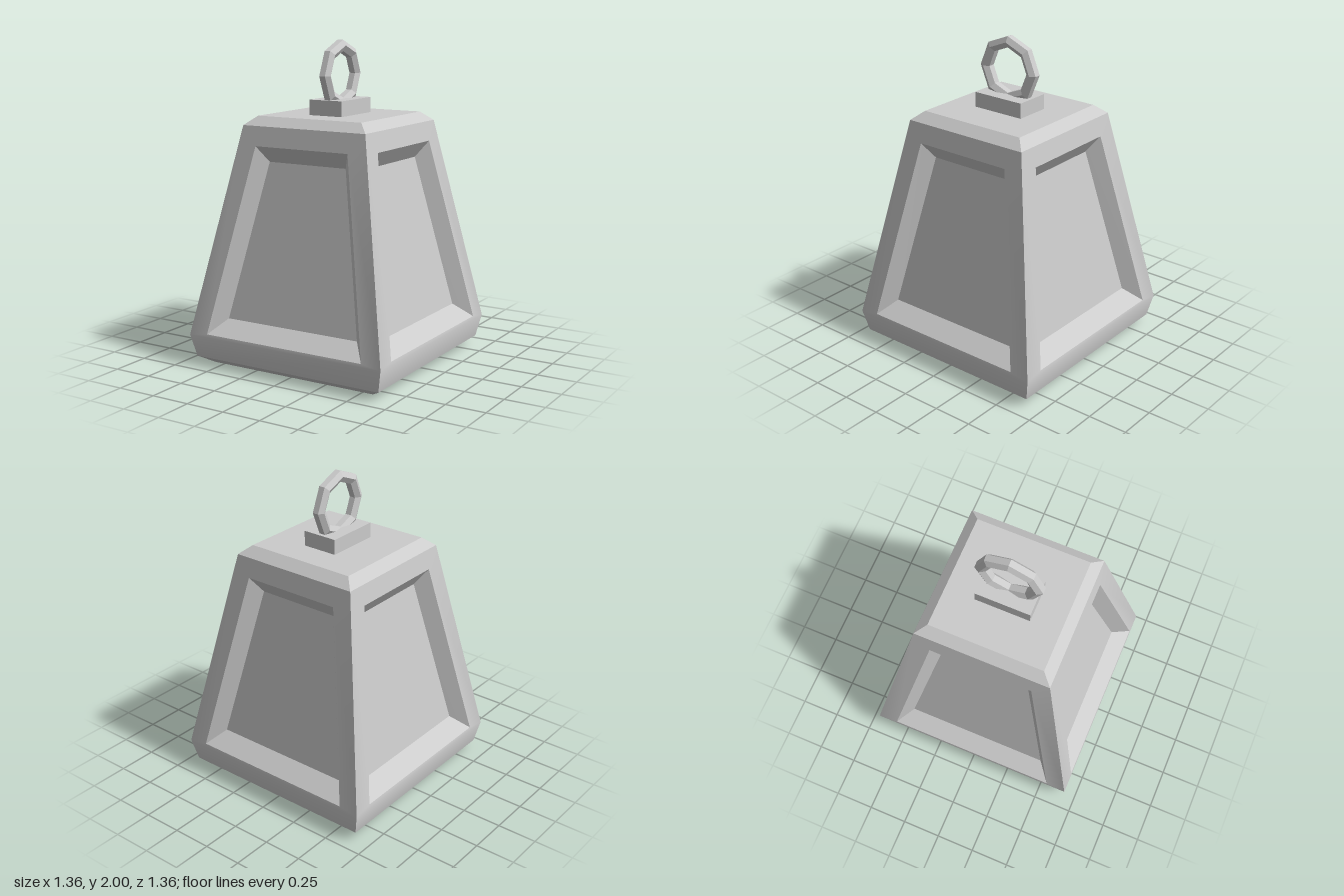
import * as THREE from 'three';
import { toCreasedNormals } from 'three/addons/utils/BufferGeometryUtils.js';

const grey = new THREE.MeshStandardMaterial({ color: 0xcccccc });
const flatGrey = new THREE.MeshStandardMaterial({ color: 0xcccccc, flatShading: true });

// Depth of the sloping side wall at height y
const wallZ = (y) => 0.68 - ((y - 0.19) * 0.25) / 1.3;

// Four corners of a trapezoid on one side, anticlockwise from bottom left
function trapezoid(y0, half0, z0, y1, half1, z1) {
  return [[-half0, y0, z0], [half0, y0, z0], [half1, y1, z1], [-half1, y1, z1]];
}

function bodyGeometry() {
  const positions = [];
  const quad = (a, b, c, d) => positions.push(...a, ...b, ...c, ...a, ...c, ...d);

  // [height, half width] of the square cross-sections
  const levels = [[0, 0.57], [0.05, 0.65], [0.19, 0.68], [1.49, 0.43], [1.545, 0.365]];
  const panelLevel = 2;

  // Recessed panel: rim on the wall, then a smaller floor set inwards
  const depth = 0.09;
  const rim = trapezoid(0.21, 0.55, wallZ(0.21), 1.37, 0.325, wallZ(1.37));
  const floor = trapezoid(0.3, 0.46, wallZ(0.3) - depth, 1.27, 0.27, wallZ(1.27) - depth);

  for (let side = 0; side < 4; side++) {
    const c = Math.round(Math.cos((side * Math.PI) / 2));
    const s = Math.round(Math.sin((side * Math.PI) / 2));
    const turn = ([x, y, z]) => [x * c + z * s, y, z * c - x * s];
    const frameBetween = (outer, inner) => {
      for (let i = 0; i < 4; i++) {
        const j = (i + 1) % 4;
        quad(...[outer[i], outer[j], inner[j], inner[i]].map(turn));
      }
    };
    for (let i = 0; i < levels.length - 1; i++) {
      const [y0, h0] = levels[i];
      const [y1, h1] = levels[i + 1];
      const wall = trapezoid(y0, h0, h0, y1, h1, h1);
      if (i === panelLevel) {
        frameBetween(wall, rim);
        frameBetween(rim, floor);
        quad(...floor.map(turn));
      } else {
        quad(...wall.map(turn));
      }
    }
  }

  // Underside and top
  const [yb, b] = levels[0];
  const [yt, t] = levels[levels.length - 1];
  quad([-b, yb, -b], [b, yb, -b], [b, yb, b], [-b, yb, b]);
  quad([-t, yt, t], [t, yt, t], [t, yt, -t], [-t, yt, -t]);

  const geometry = new THREE.BufferGeometry();
  geometry.setAttribute('position', new THREE.Float32BufferAttribute(positions, 3));
  return toCreasedNormals(geometry, 0.5);
}

// Eight-sided ring with a hexagonal section, standing across the z axis
function ringGeometry() {
  const profile = [];
  for (let i = 0; i <= 6; i++) {
    const a = ((i - 0.5) * Math.PI) / 3;
    profile.push(new THREE.Vector2(0.177 + 0.04 * Math.cos(a), 0.04 * Math.sin(a)));
  }
  return new THREE.LatheGeometry(profile, 8).rotateZ(Math.PI / 2);
}

export function createModel() {
  const model = new THREE.Group();
  model.name = 'panelledWeight';
  const add = (name, geometry, material, y) => {
    const mesh = new THREE.Mesh(geometry, material);
    mesh.name = name;
    mesh.position.y = y;
    model.add(mesh);
  };

  add('body', bodyGeometry(), grey, 0);
  add('ringMount', new THREE.BoxGeometry(0.23, 0.1, 0.35), grey, 1.59);
  add('hangingRing', ringGeometry(), flatGrey, 1.788);
  return model;
}
